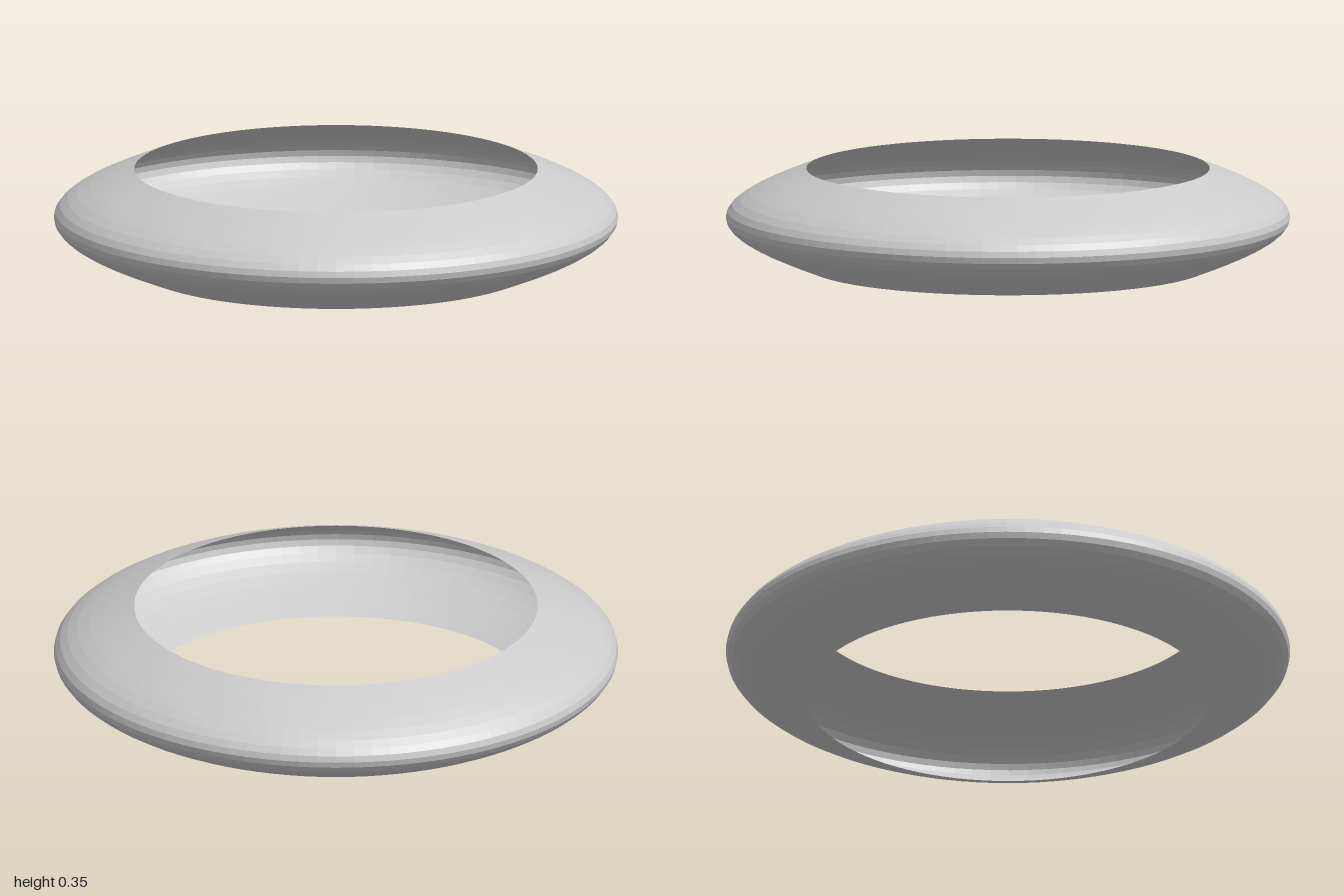
import * as THREE from 'three';

export function createModel() {
  const group = new THREE.Group();

  // Open shell: a sine bulge between two equal rims, turned about the y axis
  const rim = 0.715, bulge = 0.285, height = 0.35, steps = 16;
  const profile = [];
  for (let i = 0; i <= steps; i++) {
    const t = i / steps;
    profile.push(new THREE.Vector2(rim + bulge * Math.sin(Math.PI * t), height * t));
  }

  const material = new THREE.MeshStandardMaterial({
    color: 0xcccccc,
    flatShading: true,
    side: THREE.DoubleSide,
  });
  const shell = new THREE.Mesh(new THREE.LatheGeometry(profile, 96), material);
  shell.name = 'ringShell';
  group.add(shell);
  return group;
}
